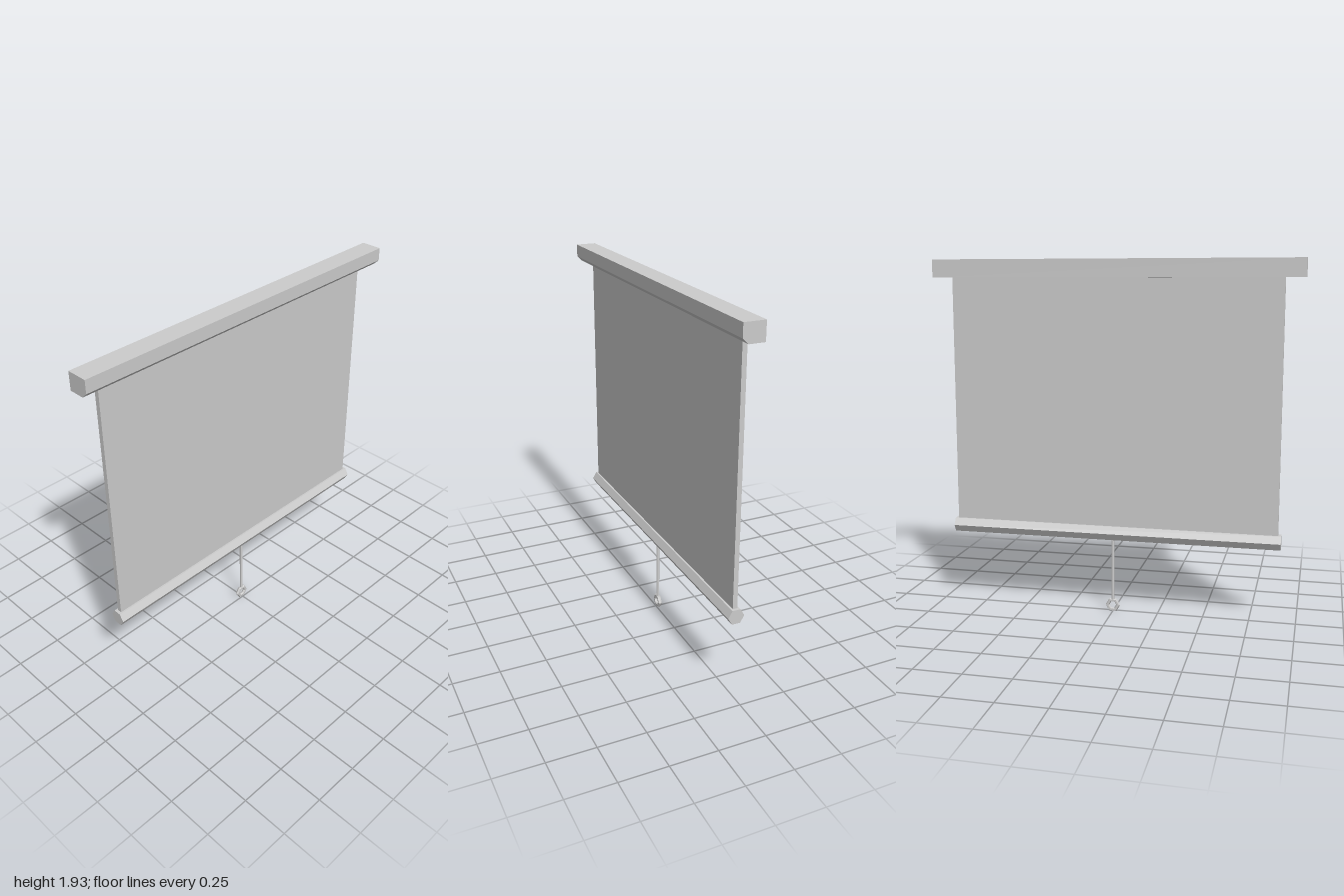
import * as THREE from 'three';

const material = new THREE.MeshStandardMaterial({ color: 0xcccccc, flatShading: true });
const hangZ = -0.012; // depth of the hanging parts

function addPart(group, name, geometry, x = 0, y = 0, z = 0) {
  const mesh = new THREE.Mesh(geometry, material);
  mesh.name = name;
  mesh.position.set(x, y, z);
  group.add(mesh);
  return mesh;
}

// Extrude a (z, y) profile along x, centred on x = 0
function extrudeAlongX(points, width) {
  const shape = new THREE.Shape(points.map(([z, y]) => new THREE.Vector2(-z, y)));
  const geometry = new THREE.ExtrudeGeometry(shape, { depth: width, bevelEnabled: false });
  geometry.translate(0, 0, -width / 2);
  geometry.rotateY(Math.PI / 2);
  return geometry;
}

export function createModel() {
  const group = new THREE.Group();
  group.name = 'projectionScreen';

  // Top casing with a chamfered lower front edge
  const casing = [[-0.052, 1.833], [0.031, 1.833], [0.06, 1.861], [0.06, 1.93], [-0.052, 1.93]];
  addPart(group, 'casing', extrudeAlongX(casing, 2));

  // Screen sheet, running from inside the casing into the bottom bar
  addPart(group, 'screen', new THREE.BoxGeometry(1.792, 1.4, 0.025), 0, 1.15, hangZ);

  // Hexagonal bottom bar, flat on top and bottom
  const bar = [];
  for (let i = 0; i < 6; i++) {
    const a = (i * Math.PI) / 3;
    bar.push([hangZ + 0.044 * Math.cos(a), 0.45 + 0.038 * Math.sin(a) / Math.sin(Math.PI / 3)]);
  }
  addPart(group, 'bottomBar', extrudeAlongX(bar, 1.824));

  // Pull cord and its hexagonal ring
  addPart(group, 'pullCord', new THREE.CylinderGeometry(0.009, 0.009, 0.36, 6), 0, 0.245, hangZ);
  addPart(group, 'pullRing', new THREE.TorusGeometry(0.03, 0.011, 6, 6), 0, 0.0355, hangZ);

  return group;
}
